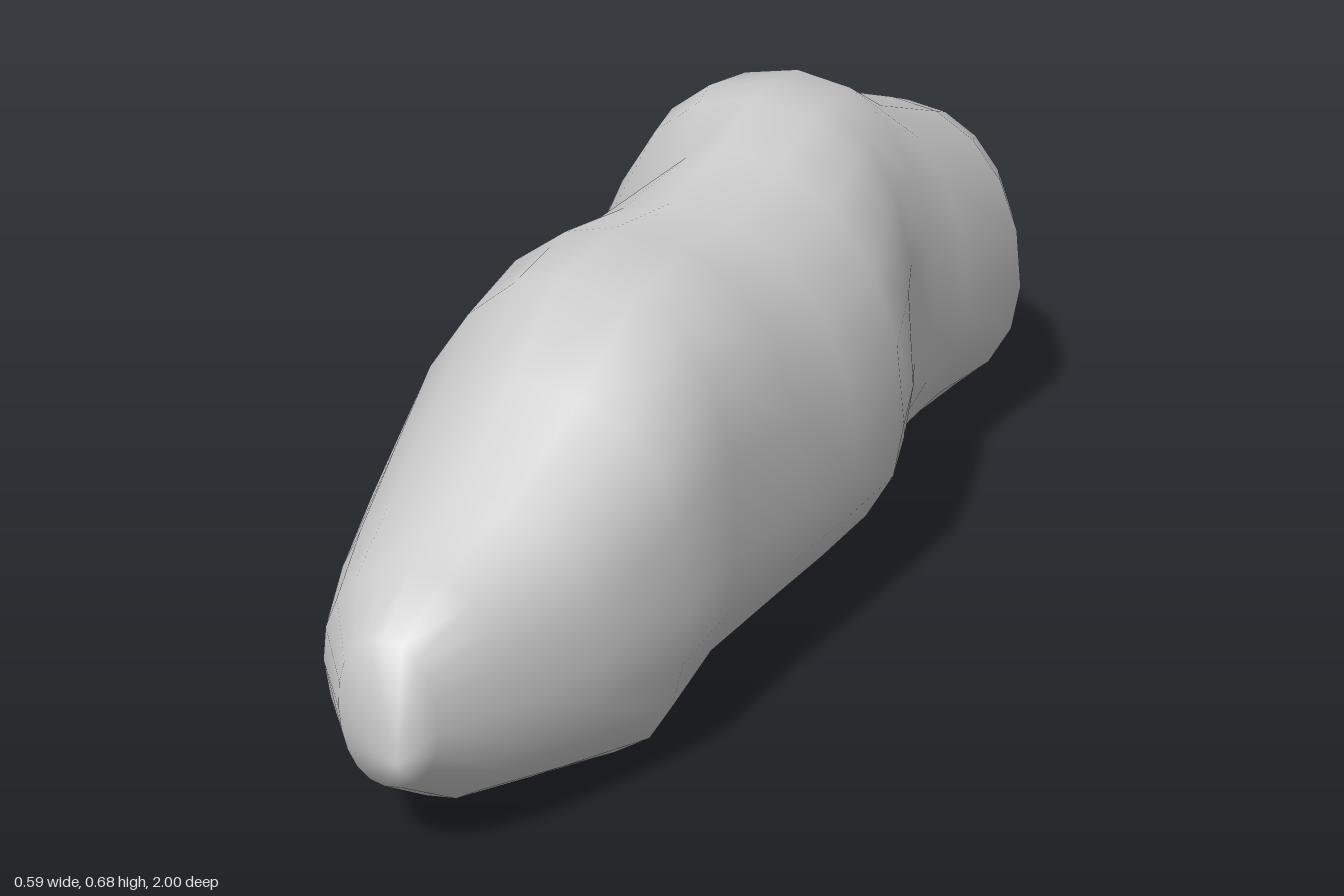
import * as THREE from 'three';

// Cross-sections along the length: z, min x, max x, top y, bottom y, height of the widest point
const sections = [
  [0.96, -0.06, 0.08, 0.33, 0.125, 0.22],
  [0.87, -0.14, 0.13, 0.38, 0.06, 0.22],
  [0.75, -0.195, 0.185, 0.43, 0.03, 0.23],
  [0.61, -0.24, 0.236, 0.53, 0, 0.25],
  [0.48, -0.265, 0.245, 0.615, 0.02, 0.26],
  [0.31, -0.292, 0.265, 0.622, 0.014, 0.26],
  [0.16, -0.293, 0.28, 0.607, 0.01, 0.26],
  [0.02, -0.286, 0.293, 0.648, 0.006, 0.27],
  [-0.11, -0.272, 0.255, 0.678, 0.006, 0.27],
  [-0.19, -0.262, 0.225, 0.675, 0.006, 0.27],
  [-0.29, -0.25, 0.217, 0.668, 0.014, 0.28],
  [-0.4, -0.238, 0.228, 0.605, 0.022, 0.28],
  [-0.59, -0.213, 0.25, 0.54, 0.012, 0.25],
  [-0.7, -0.195, 0.2, 0.5, 0.006, 0.25],
  [-0.8, -0.172, 0.15, 0.4, 0.03, 0.23],
  [-0.87, -0.12, 0.11, 0.335, 0.045, 0.2],
  [-0.97, -0.045, 0.02, 0.25, 0.11, 0.16],
];
const frontTip = [0.045, 0.19, 1];
const backTip = [-0.02, 0.14, -1];
const SIDES = 20;

// Shoulder shape along z on each side: below 1 is full, above 1 is chiselled
const shoulderMinX = [[-1, 0.9], [-0.5, 0.97], [-0.19, 0.78], [-0.11, 0.95], [0.03, 1.45], [0.16, 1.15], [0.31, 1.08], [0.61, 1.25], [1, 0.9]];
const shoulderMaxX = [[-1, 0.92], [-0.5, 0.95], [-0.19, 0.8], [0, 0.98], [0.16, 0.92], [0.48, 0.7], [0.75, 0.85], [1, 0.9]];

// Straight-line lookup in a list of [z, value] points
function lookup(points, z) {
  const i = points.findIndex((p) => p[0] >= z);
  const [z0, v0] = points[i - 1], [z1, v1] = points[i];
  return THREE.MathUtils.mapLinear(z, z0, z1, v0, v1);
}

// Signed power, which fills out or flattens a round cross-section
const spow = (v, p) => Math.sign(v) * Math.abs(v) ** p;

function boulderGeometry() {
  const pos = [], index = [];
  for (const [z, xMin, xMax, top, bottom, waist] of sections) {
    const cx = (xMin + xMax) / 2, half = (xMax - xMin) / 2;
    // The underside bulges sideways near the front
    const under = 0.06 * Math.exp(-(((z - 0.62) / 0.13) ** 2));
    for (let j = 0; j < SIDES; j++) {
      const a = (j / SIDES) * Math.PI * 2;
      const c = Math.cos(a), s = Math.sin(a);
      // Uneven shoulders above the waist, a rounder belly below it
      const p = s > 0 ? lookup(c < 0 ? shoulderMinX : shoulderMaxX, z) : 0.97;
      const h = spow(s, p);
      const y = waist + h * (s > 0 ? top - waist : waist - bottom);
      const shift = s < 0 ? (under - cx) * h * h : 0;
      pos.push(cx + half * spow(c, p) + shift, y, z);
    }
  }
  const n = sections.length;
  const front = n * SIDES, back = front + 1;
  pos.push(...frontTip, ...backTip);
  for (let j = 0; j < SIDES; j++) {
    const k = (j + 1) % SIDES;
    for (let i = 0; i < n - 1; i++) {
      const a = i * SIDES + j, b = a + SIDES;
      const d = i * SIDES + k, e = d + SIDES;
      index.push(a, b, d, b, e, d);
    }
    // Close the two ends
    index.push(front, j, k);
    const last = (n - 1) * SIDES;
    index.push(back, last + k, last + j);
  }
  const g = new THREE.BufferGeometry();
  g.setAttribute('position', new THREE.Float32BufferAttribute(pos, 3));
  g.setIndex(index);
  g.computeVertexNormals();
  return g;
}

export function createModel() {
  const group = new THREE.Group();
  group.name = 'rock';
  const boulder = new THREE.Mesh(boulderGeometry(), new THREE.MeshStandardMaterial({ color: 0xcccccc }));
  boulder.name = 'boulder';
  group.add(boulder);
  return group;
}
